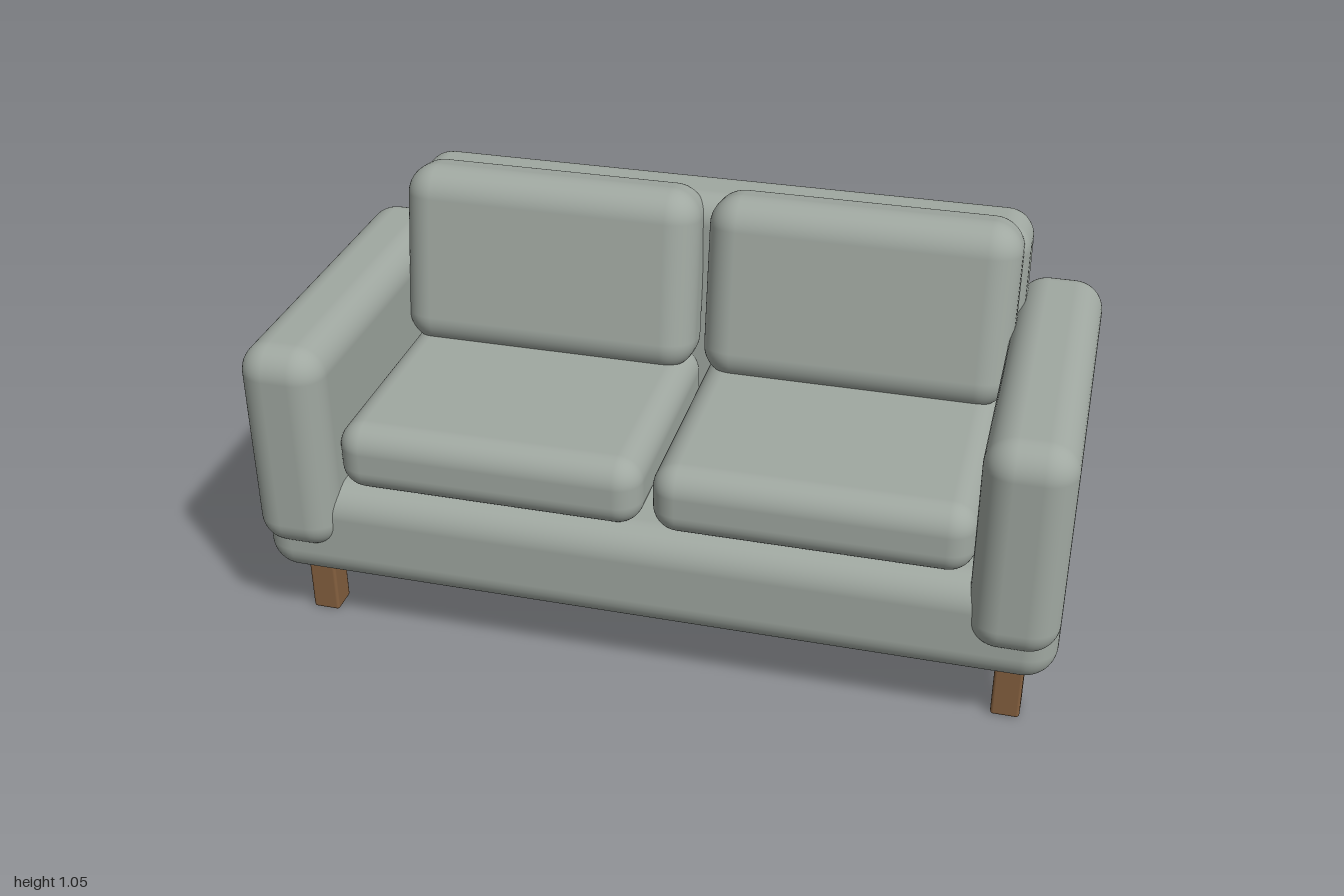
import * as THREE from 'three';
import { RoundedBoxGeometry } from 'three/addons/geometries/RoundedBoxGeometry.js';

const fabric = new THREE.MeshStandardMaterial({ color: 0xa0a8a1 });
const wood = new THREE.MeshStandardMaterial({ color: 0x85603f });

// Rounded block given by its [min, max] extents on each axis
function block(name, [x0, x1], [y0, y1], [z0, z1], radius, material = fabric, segments = 6) {
  const geometry = new RoundedBoxGeometry(x1 - x0, y1 - y0, z1 - z0, segments, radius);
  const mesh = new THREE.Mesh(geometry, material);
  mesh.name = name;
  mesh.position.set((x0 + x1) / 2, (y0 + y1) / 2, (z0 + z1) / 2);
  return mesh;
}

export function createModel() {
  const sofa = new THREE.Group();
  sofa.name = 'sofa';

  // Upholstered frame
  sofa.add(block('base', [-1, 1], [0.17, 0.44], [-0.435, 0.435], 0.08));
  sofa.add(block('backrest', [-0.81, 0.81], [0.32, 1.02], [-0.45, -0.24], 0.07));

  for (const side of [1, -1]) {
    const label = side > 0 ? 'left' : 'right';
    const span = (a, b) => (side > 0 ? [a, b] : [-b, -a]);

    sofa.add(block(label + 'Arm', span(0.785, 1), [0.27, 0.83], [-0.47, 0.47], 0.075));
    sofa.add(block(label + 'SeatCushion', span(0.012, 0.787), [0.43, 0.61], [-0.26, 0.41], 0.065));

    // Back cushion leans against the backrest
    const cushion = block(label + 'BackCushion', span(0.012, 0.797), [0.574, 1.054], [-0.311, -0.115], 0.08);
    cushion.rotation.x = -0.17;
    sofa.add(cushion);

    // Square wooden legs
    for (const end of [1, -1]) {
      const z = 0.301 * end;
      const name = label + (end > 0 ? 'Front' : 'Back') + 'Leg';
      sofa.add(block(name, span(0.857, 0.928), [0, 0.2], [z - 0.037, z + 0.037], 0.008, wood, 2));
    }
  }
  return sofa;
}
